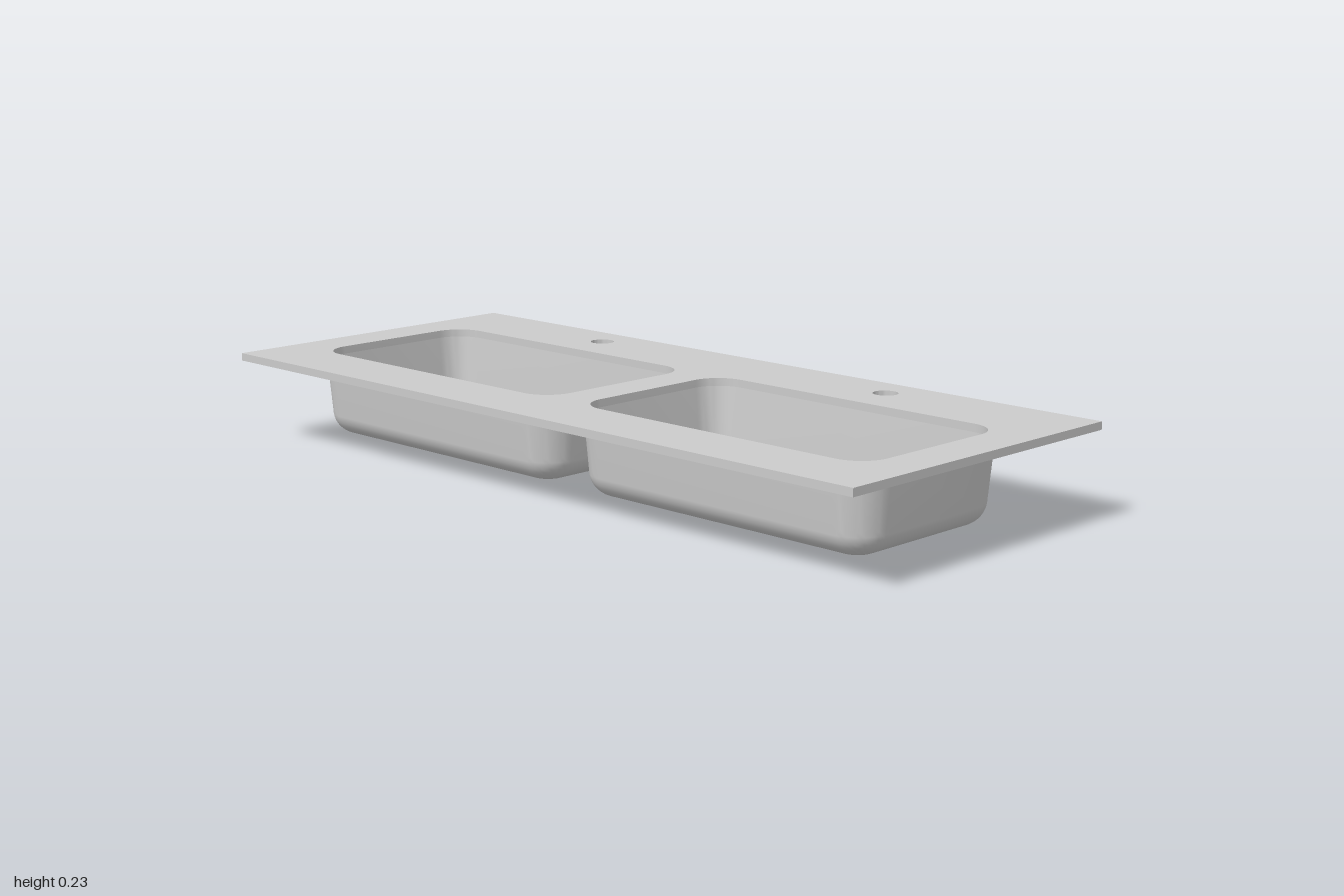
import * as THREE from 'three';
import { toCreasedNormals } from 'three/addons/utils/BufferGeometryUtils.js';

const CORNER_STEPS = 12;
const TOP = 0.232, UNDER = 0.213;      // slab faces
const BASIN_X = 0.47, BASIN_Z = 0.025; // basin centre
const DRAIN_Z = -0.036;

// Rounded rectangle as [x, z] points; hx = hz = r gives a circle.
function ring(hx, hz, r, cx, cz) {
  const pts = [];
  for (let c = 0; c < 4; c++) {
    const sx = c === 0 || c === 3 ? 1 : -1, sz = c < 2 ? 1 : -1;
    for (let i = 0; i <= CORNER_STEPS; i++) {
      const a = (c + i / CORNER_STEPS) * Math.PI / 2;
      pts.push([cx + sx * (hx - r) + r * Math.cos(a), cz + sz * (hz - r) + r * Math.sin(a)]);
    }
  }
  return pts;
}

// Skin a list of cross-sections { y, pts }.
function loft(sections) {
  const n = sections[0].pts.length, pos = [], idx = [];
  sections.forEach(({ y, pts }) => pts.forEach(([x, z]) => pos.push(x, y, z)));
  for (let s = 0; s < sections.length - 1; s++) {
    for (let i = 0; i < n; i++) {
      const j = (i + 1) % n, a = s * n + i, b = s * n + j;
      idx.push(a, b, a + n, b, b + n, a + n);
    }
  }
  const g = new THREE.BufferGeometry();
  g.setAttribute('position', new THREE.Float32BufferAttribute(pos, 3));
  g.setIndex(idx);
  return toCreasedNormals(g, 0.6);
}

// Tapered wall, bottom fillet and start of the floor, from top to bottom.
function bowl(hx, hz, r, floorY, fillet) {
  const taper = 0.012, steps = 10;
  const section = (y, d) => ({ y, pts: ring(hx - d, hz - d, r - d, 0, BASIN_Z) });
  const out = [section(UNDER, 0)];
  for (let i = 0; i <= steps; i++) {
    const a = (i / steps) * Math.PI / 2;
    out.push(section(floorY + fillet * (1 - Math.sin(a)), taper + fillet * (1 - Math.cos(a))));
  }
  out.push(section(floorY, taper + fillet + 0.004));
  return out;
}

function basinGeometry() {
  const circle = (y, r) => ({ y, pts: ring(r, r, r, 0, DRAIN_Z) });
  // Drain: outer collar, lower lip, bore and rounded mouth
  const drain = [circle(0.02, 0.066), circle(0, 0.066), circle(0, 0.04)];
  for (let i = 0; i <= 6; i++) {
    const a = (i / 6) * Math.PI / 2;
    drain.push(circle(0.015 + 0.02 * Math.sin(a), 0.06 - 0.02 * Math.cos(a)));
  }
  return loft([
    ...bowl(0.435, 0.25, 0.09, 0.02, 0.06),
    ...drain,
    ...bowl(0.42, 0.234, 0.075, 0.035, 0.05).reverse(),
  ]);
}

// Slab with basin openings and tap holes
function slabGeometry() {
  const toPath = (pts) => pts.map(([x, z]) => new THREE.Vector2(x, z));
  const shape = new THREE.Shape(toPath([[-1, -0.425], [1, -0.425], [1, 0.425], [-1, 0.425]]));
  for (const s of [-1, 1]) {
    shape.holes.push(new THREE.Path(toPath(ring(0.42, 0.234, 0.075, s * BASIN_X, BASIN_Z))));
    shape.holes.push(new THREE.Path(toPath(ring(0.03, 0.03, 0.03, s * BASIN_X, -0.33))));
  }
  const g = new THREE.ExtrudeGeometry(shape, { depth: TOP - UNDER, bevelEnabled: false });
  g.rotateX(Math.PI / 2).translate(0, TOP, 0);
  return toCreasedNormals(g, 0.6);
}

export function createModel() {
  const group = new THREE.Group();
  group.name = 'doubleWashbasin';
  const material = new THREE.MeshStandardMaterial({ color: 0xcccccc });

  const slab = new THREE.Mesh(slabGeometry(), material);
  slab.name = 'slab';
  group.add(slab);

  const geometry = basinGeometry();
  for (const [name, s] of [['leftBasin', 1], ['rightBasin', -1]]) {
    const basin = new THREE.Mesh(geometry, material);
    basin.name = name;
    basin.position.x = s * BASIN_X;
    group.add(basin);
  }
  return group;
}
